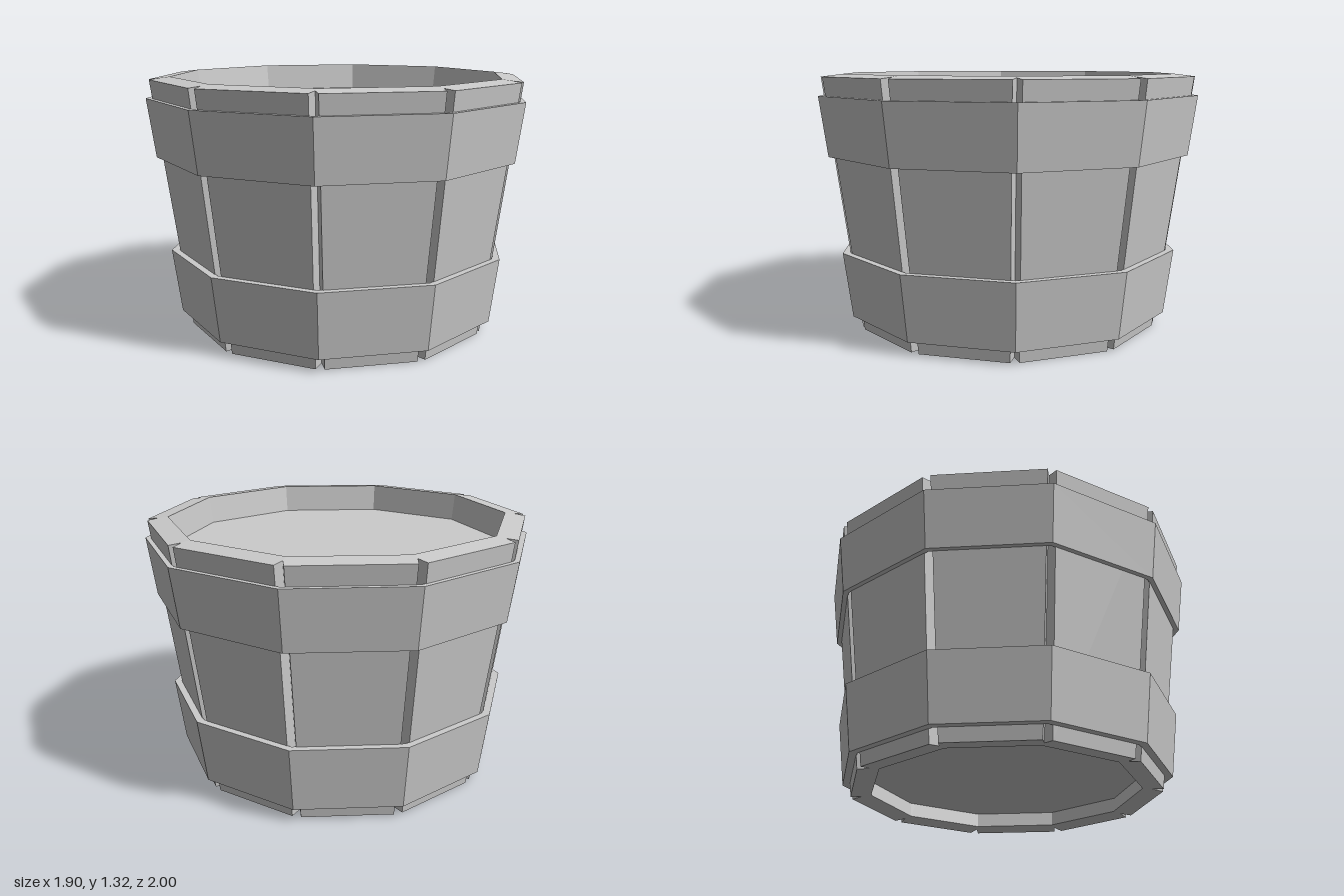
import * as THREE from 'three';

const SIDES = 10;
const STEP = (Math.PI * 2) / SIDES;
const HEIGHT = 1.31;
const BASE_R = 0.81, TOP_R = 0.987;   // corner radii of the tub
const WALL = 0.11;                    // wall thickness at the corners
const GROOVE_W = 0.023, GROOVE_D = 0.062;
const RISE = 0.013;                   // stave ends are cut square to the slope

const radiusAt = (y) => BASE_R + ((TOP_R - BASE_R) * y) / HEIGHT;

const material = new THREE.MeshStandardMaterial({ color: 0xcccccc, flatShading: true });

function addMesh(parent, name, geometry) {
  const mesh = new THREE.Mesh(geometry, material);
  mesh.name = name;
  parent.add(mesh);
  return mesh;
}

// Six-cornered stave section: groove, outer face, groove, inner face
function staveSection(R, y) {
  const corner = (r, a, h) => new THREE.Vector3(r * Math.sin(a), h, r * Math.cos(a));
  const left = corner(R, 0, y), right = corner(R, STEP, y);
  const inset = GROOVE_W / left.distanceTo(right);
  const grooveY = y + (RISE * GROOVE_D) / WALL;
  return [
    corner(R - GROOVE_D, 0, grooveY),
    left.clone().lerp(right, inset),
    right.clone().lerp(left, inset),
    corner(R - GROOVE_D, STEP, grooveY),
    corner(R - WALL, STEP, y + RISE),
    corner(R - WALL, 0, y + RISE),
  ];
}

function staveGeometry() {
  const low = staveSection(BASE_R, 0);
  const high = staveSection(TOP_R, HEIGHT);
  const points = [];
  // Long faces, leaving out those pressed against the neighbouring staves
  for (const i of [0, 1, 2, 4]) {
    const j = i + 1;
    points.push(low[i], low[j], high[j], low[i], high[j], high[i]);
  }
  // End caps
  for (let i = 1; i < 5; i++) {
    points.push(high[0], high[i], high[i + 1]);
    points.push(low[0], low[i + 1], low[i]);
  }
  const geometry = new THREE.BufferGeometry().setFromPoints(points);
  geometry.computeVertexNormals();
  return geometry;
}

// Closed ring with a slanted outer face, its back lying on the staves
function bandGeometry(y0, r0, y1, r1) {
  const profile = [
    [radiusAt(y0) - 0.004, y0], [r0, y0], [r1, y1],
    [radiusAt(y1) - 0.004, y1], [radiusAt(y0) - 0.004, y0],
  ].map(([x, y]) => new THREE.Vector2(x, y));
  return new THREE.LatheGeometry(profile, SIDES);
}

// Ten-sided panel facing up or down
function panelGeometry(y, up) {
  const geometry = new THREE.CircleGeometry(radiusAt(y) - WALL + 0.004, SIDES, Math.PI / 2);
  geometry.rotateX(up ? -Math.PI / 2 : Math.PI / 2);
  geometry.translate(0, y, 0);
  return geometry;
}

export function createModel() {
  const tub = new THREE.Group();
  tub.name = 'woodenTub';

  // Ring of staves
  const staves = new THREE.Group();
  staves.name = 'staves';
  const stave = staveGeometry();
  for (let i = 0; i < SIDES; i++) {
    addMesh(staves, 'stave', stave).rotation.y = i * STEP;
  }
  tub.add(staves);

  // Hoops
  addMesh(tub, 'upperBand', bandGeometry(0.91, 0.958, 1.215, 1.0));
  addMesh(tub, 'lowerBand', bandGeometry(0.07, 0.857, 0.41, 0.902));

  // Recessed top and bottom panels
  addMesh(tub, 'topPanel', panelGeometry(1.18, true));
  addMesh(tub, 'bottomPanel', panelGeometry(0.09, false));

  return tub;
}
